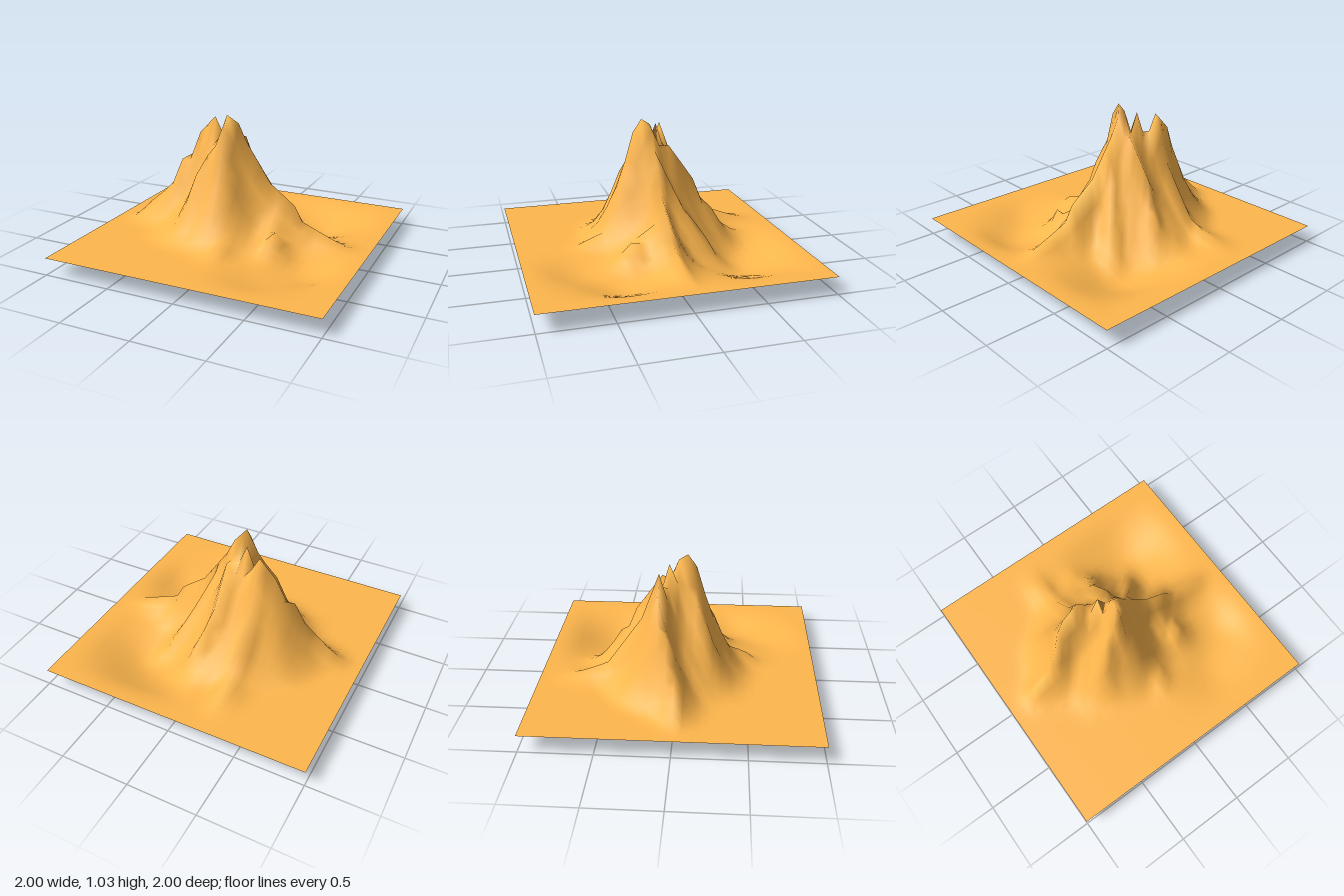
import * as THREE from 'three';

const GROUND = 0.13;
const SEGMENTS = 32;

// Meeting points of the crest lines: x, z, height
const summit = [-0.0625, 0.0625, 1.03];
const westPeak = [-0.25, -0.125, 0.96];
const eastShoulder = [0.0625, 0, 0.83];
const eastStep = [0.25, 0, 0.55];

// Crest lines of the mountain
const westRidge = [summit, [-0.0625, 0, 0.99], [-0.125, -0.0625, 0.98], [-0.1875, -0.1, 0.92], westPeak,
  [-0.375, -0.125, 0.83], [-0.5, -0.0625, 0.62], [-0.5625, 0, 0.42], [-0.9, 0, 0.14]];
const eastRidge = [summit, [0, 0, 0.96], eastShoulder, eastStep, [0.4375, 0, 0.41], [0.5, 0, 0.3], [0.88, 0, 0.14]];
const northSpur = [summit, [0, -0.125, 0.84], [0, -0.3125, 0.58], [0.0625, -0.4375, 0.38], [0, -0.62, 0.17]];
const northEastSpur = [eastShoulder, [0.22, -0.18, 0.47], [0.37, -0.38, 0.19]];
const northWestSpur = [westPeak, [-0.25, -0.25, 0.62], [-0.25, -0.5, 0.26], [-0.28, -0.85, 0.14]];
const southWestSpur = [summit, [-0.23, 0.17, 0.68], [-0.36, 0.25, 0.27], [-0.46, 0.32, 0.16]];
const southSpur = [summit, [-0.0625, 0.125, 0.94], [0, 0.25, 0.54], [0.02, 0.3125, 0.33], [0.08, 0.58, 0.14]];
const knoll = [eastStep, [0.32, 0.125, 0.33], [0.375, 0.25, 0.28], [0.4, 0.34, 0.16]];
const ridges = [westRidge, eastRidge, northSpur, northEastSpur, northWestSpur, southWestSpur, southSpur, knoll];

// Height above the plain given by one stretch of ridge
function stretchHeight(x, z, a, b) {
  const dx = b[0] - a[0], dz = b[1] - a[1];
  const t = THREE.MathUtils.clamp(((x - a[0]) * dx + (z - a[1]) * dz) / (dx * dx + dz * dz), 0, 1);
  const distance = Math.hypot(x - a[0] - dx * t, z - a[1] - dz * t);
  const crest = THREE.MathUtils.lerp(a[2], b[2], t) - GROUND;
  const width = 0.15 + 0.35 * crest;
  return crest * Math.max(0, 1 - distance / width) ** 2;
}

// Broad cone that fills the gullies between the ridges
function massif(x, z) {
  return 0.75 * Math.max(0, 1 - Math.hypot(x + 0.1, z + 0.06) / 0.6) ** 1.5;
}

// Depth of a rounded hollow centred on (cx, cz)
function hollow(x, z, cx, cz, radius, depth) {
  return depth * Math.exp(-0.5 * (((x - cx) ** 2 + (z - cz) ** 2) / radius ** 2));
}

function terrainHeight(x, z) {
  let rise = massif(x, z);
  for (const ridge of ridges) {
    for (let i = 1; i < ridge.length; i++) {
      rise = Math.max(rise, stretchHeight(x, z, ridge[i - 1], ridge[i]));
    }
  }
  // one deep hollow behind, a curved trough in front
  const sink = hollow(x, z, 0.48, -0.51, 0.2, 0.125) + hollow(x, z, 0.2, -0.68, 0.15, 0.03)
    + hollow(x, z, 0.67, 0.38, 0.16, 0.08) + hollow(x, z, 0.42, 0.62, 0.15, 0.05);
  // the plain is level along its border
  const border = THREE.MathUtils.smoothstep(1 - Math.max(Math.abs(x), Math.abs(z)), 0, 0.25);
  return Math.max(0, GROUND + (rise - sink) * border);
}

export function createModel() {
  const group = new THREE.Group();
  group.name = 'mountainLandscape';

  // Square sheet raised into the mountain and lowered into the hollows
  const geometry = new THREE.PlaneGeometry(2, 2, SEGMENTS, SEGMENTS).rotateX(-Math.PI / 2);
  const position = geometry.attributes.position;
  for (let i = 0; i < position.count; i++) {
    position.setY(i, terrainHeight(position.getX(i), position.getZ(i)));
  }
  geometry.computeVertexNormals();

  const terrain = new THREE.Mesh(
    geometry,
    new THREE.MeshStandardMaterial({ color: 0xffb74d, side: THREE.DoubleSide }),
  );
  terrain.name = 'terrain';
  group.add(terrain);
  return group;
}
